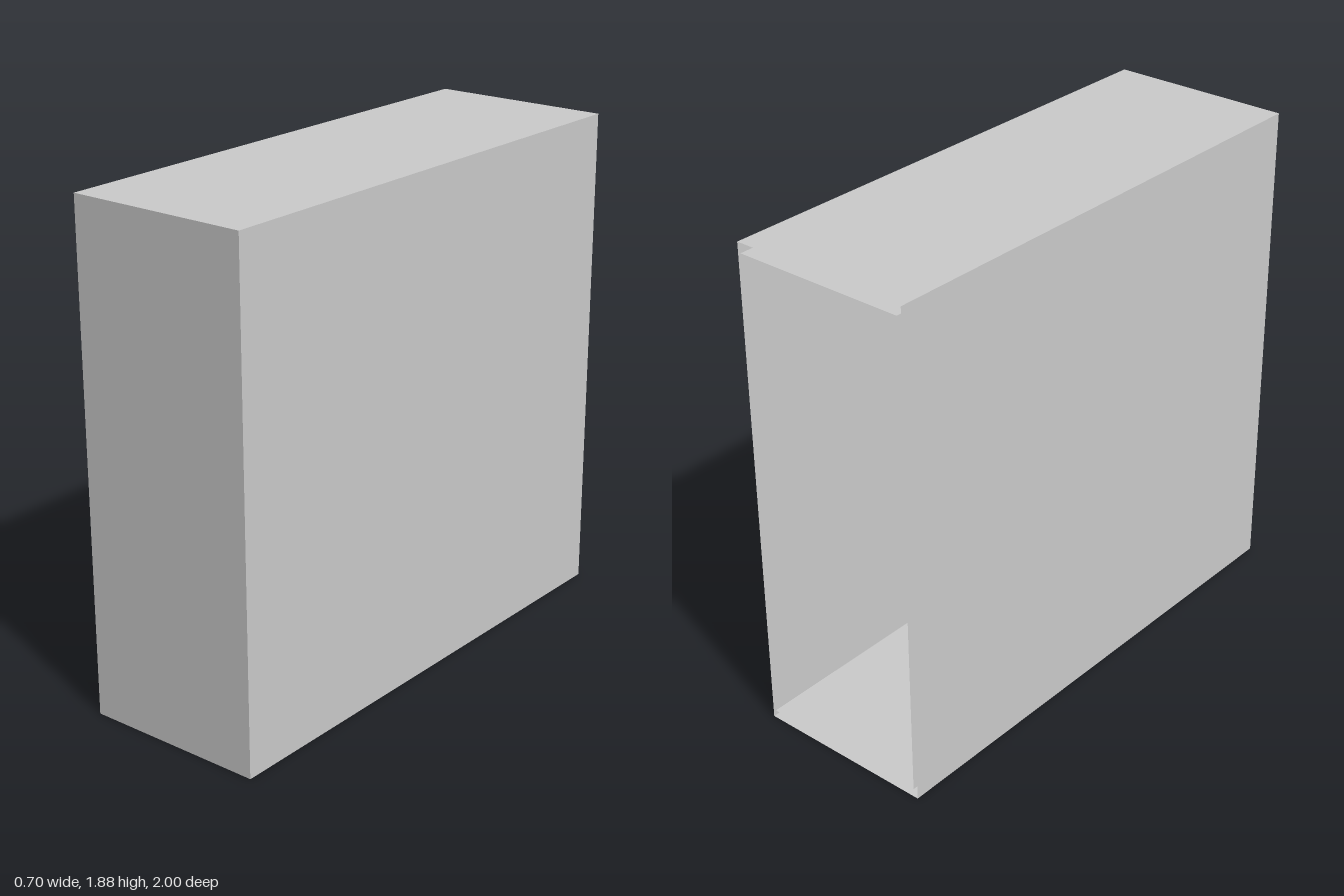
import * as THREE from 'three';

const material = new THREE.MeshStandardMaterial({ color: 0xcccccc, side: THREE.DoubleSide });

// Thin five-sided box, open towards -z
function openBox(name, w, y0, y1, zBack, zFront) {
  const box = new THREE.Group();
  box.name = name;
  const h = y1 - y0, d = zFront - zBack;
  const panel = (label, pw, ph, rx, ry, x, y, z) => {
    const mesh = new THREE.Mesh(new THREE.PlaneGeometry(pw, ph), material);
    mesh.name = label;
    mesh.rotation.set(rx, ry, 0);
    mesh.position.set(x, y, z);
    box.add(mesh);
  };
  const yMid = (y0 + y1) / 2, zMid = (zBack + zFront) / 2;
  panel('frontPanel', w, h, 0, 0, 0, yMid, zFront);
  for (const s of [1, -1]) {
    panel(s > 0 ? 'leftPanel' : 'rightPanel', d, h, 0, s * Math.PI / 2, s * w / 2, yMid, zMid);
    panel(s > 0 ? 'topPanel' : 'bottomPanel', w, d, -s * Math.PI / 2, 0, 0, s > 0 ? y1 : y0, zMid);
  }
  return box;
}

export function createModel() {
  const model = new THREE.Group();
  model.name = 'slipcase';
  // Outer sleeve, and a lining that stands just proud of its open back
  model.add(openBox('outerSleeve', 0.7, 0, 1.88, -0.997, 1));
  model.add(openBox('innerLining', 0.67, 0.035, 1.845, -1, 0.98));
  return model;
}
